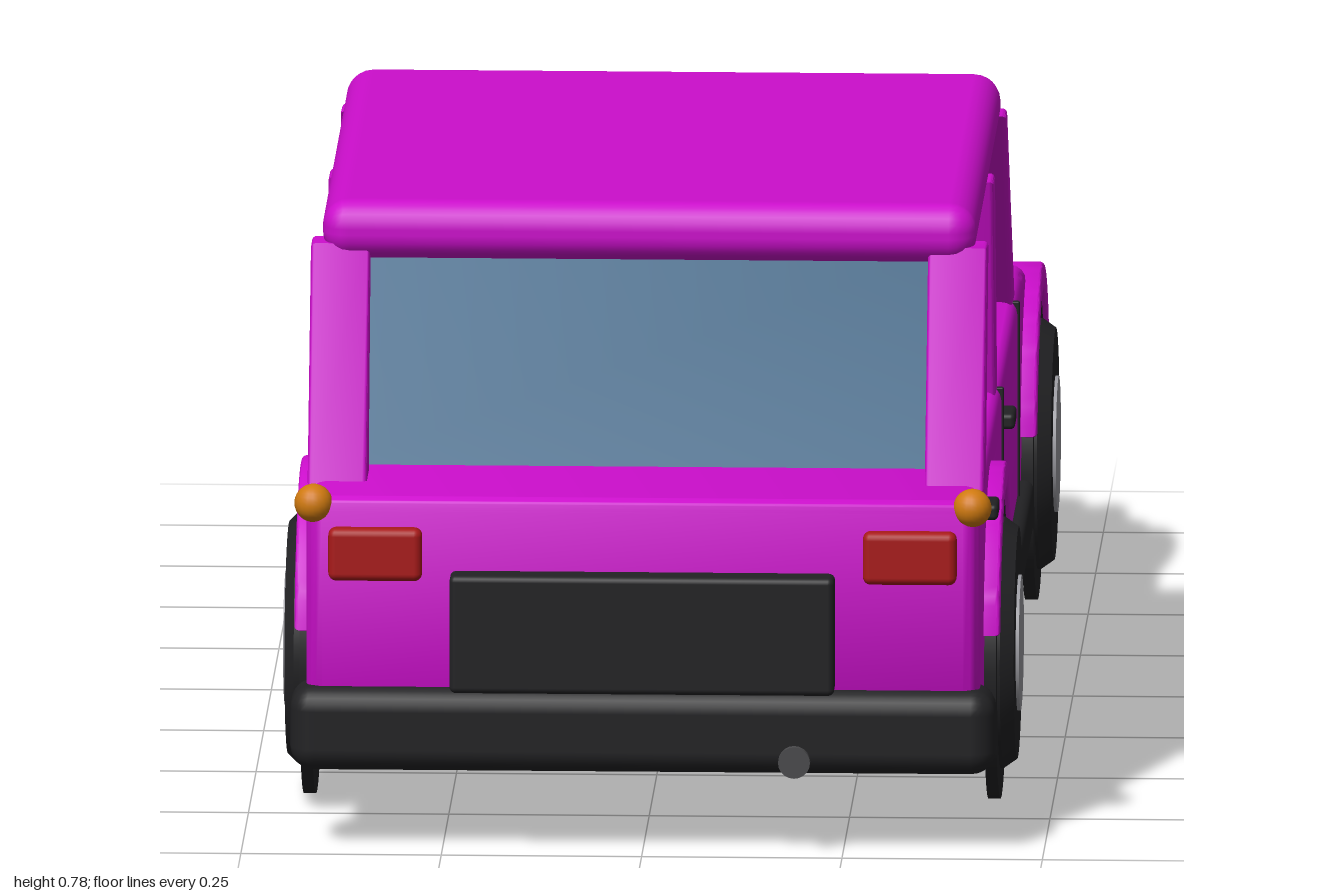
import * as THREE from 'three';
import { toCreasedNormals } from 'three/addons/utils/BufferGeometryUtils.js';
import { RoundedBoxGeometry } from 'three/addons/geometries/RoundedBoxGeometry.js';

const mat = (color) => new THREE.MeshStandardMaterial({ color });
const paint = mat(0xcc0ecc), black = mat(0x222224), underside = mat(0x161616), glass = mat(0x5b7f9f);
const red = mat(0xa81a1a), orange = mat(0xd07a10), cream = mat(0xc0b896), metal = mat(0x9a9aa0), steel = mat(0x4a4a4c);

export function createModel() {
  const car = new THREE.Group();
  car.name = 'car';

  const add = (name, geometry, material, x = 0, y = 0, z = 0) => {
    const mesh = new THREE.Mesh(geometry, material);
    mesh.name = name;
    mesh.position.set(x, y, z);
    car.add(mesh);
    return mesh;
  };
  // Rounded box given by its limits on each axis
  const box = (name, material, [x0, x1], [y0, y1], [z0, z1], r = 0.01) =>
    add(name, new RoundedBoxGeometry(x1 - x0, y1 - y0, z1 - z0, 3, r), material,
      (x0 + x1) / 2, (y0 + y1) / 2, (z0 + z1) / 2);
  // Side profile (z, y) extruded across x from x0 to x1
  const slab = (name, material, shape, x0, x1, bevel) => {
    const g = new THREE.ExtrudeGeometry(shape, {
      depth: x1 - x0 - 2 * bevel, bevelThickness: bevel, bevelSize: bevel, bevelOffset: -bevel,
      bevelSegments: 4, curveSegments: 24,
    });
    g.rotateY(-Math.PI / 2);
    g.translate(x1 - bevel, 0, 0);
    return add(name, toCreasedNormals(g, 0.6), material);
  };
  const poly = (pts) => new THREE.Shape(pts.map(([z, y]) => new THREE.Vector2(z, y)));

  // Lower body with a sloping bonnet towards -z
  const body = new THREE.Shape();
  body.moveTo(0.93, 0.13);
  body.lineTo(0.965, 0.2);
  body.lineTo(0.965, 0.43);
  body.quadraticCurveTo(0.965, 0.447, 0.945, 0.447);
  body.lineTo(-0.42, 0.447);
  body.bezierCurveTo(-0.6, 0.447, -0.7, 0.38, -0.8, 0.34);
  body.lineTo(-0.93, 0.285);
  body.quadraticCurveTo(-0.965, 0.27, -0.965, 0.24);
  body.lineTo(-0.965, 0.18);
  body.lineTo(-0.93, 0.13);
  slab('body', paint, body, -0.42, 0.42, 0.02);

  // Cabin glass and roof
  slab('cabinGlass', glass, poly([[0.8, 0.455], [0.735, 0.725], [-0.06, 0.725], [-0.29, 0.455]]), -0.385, 0.385, 0.002);
  box('roof', paint, [-0.408, 0.408], [0.705, 0.78], [-0.085, 0.765], 0.034);

  // Floor, sump, fuel tank and exhaust
  box('floor', underside, [-0.41, 0.41], [0.103, 0.15], [-0.84, 0.86], 0.01);
  box('sump', underside, [-0.165, 0.165], [0.077, 0.12], [-0.475, -0.34]);
  box('fuelTank', steel, [-0.27, 0.13], [0.085, 0.12], [0.25, 0.46]);
  box('muffler', steel, [0.155, 0.225], [0.077, 0.13], [-0.01, 0.43], 0.026);
  const pipe = new THREE.CylinderGeometry(0.02, 0.02, 0.57, 20).rotateX(Math.PI / 2);
  add('exhaustPipe', pipe, steel, 0.19, 0.12, 0.712);

  // Bumpers, tail panel and grille
  box('tailBumper', black, [-0.44, 0.44], [0.1, 0.208], [0.893, 0.988], 0.03);
  box('noseBumper', black, [-0.435, 0.435], [0.1, 0.208], [-0.993, -0.89], 0.03);
  box('tailPanel', black, [-0.24, 0.24], [0.205, 0.355], [0.95, 1], 0.008);
  box('grille', black, [-0.24, 0.24], [0.15, 0.285], [-1, -0.94], 0.008);

  // Window pillars, as side profiles with their limits across x
  const pillars = [
    ['windscreenPillar', [[-0.265, 0.44], [-0.035, 0.73], [-0.085, 0.73], [-0.327, 0.44]], 0.355, 0.415],
    ['doorPillar', [[0.287, 0.44], [0.367, 0.73], [0.312, 0.73], [0.24, 0.44]], 0.36, 0.415],
    ['tailPillar', [[0.868, 0.44], [0.755, 0.727], [0.71, 0.727], [0.795, 0.44]], 0.348, 0.422],
  ];
  const sphere = new THREE.SphereGeometry(0.024, 20, 14);
  const lamp = new THREE.CylinderGeometry(0.065, 0.065, 0.05, 32).rotateX(Math.PI / 2);
  // Tyre and wheel disc profiles, turned about the axle
  const tyre = new THREE.LatheGeometry([[0, -0.077], [0.145, -0.077], [0.157, -0.065], [0.157, 0.06],
    [0.145, 0.077], [0, 0.077]].map(([r, h]) => new THREE.Vector2(r, h)), 48).rotateZ(-Math.PI / 2);
  const tyreGeometry = toCreasedNormals(tyre, 0.5);
  const disc = new THREE.CylinderGeometry(0.195, 0.195, 0.015, 48).rotateZ(Math.PI / 2);
  const hub = new THREE.CylinderGeometry(0.085, 0.085, 0.02, 32).rotateZ(Math.PI / 2);

  for (const s of [-1, 1]) {
    const side = s > 0 ? 'left' : 'right';
    const span = (a, b) => (s > 0 ? [a, b] : [-b, -a]);

    for (const [name, pts, a, b] of pillars) slab(`${side} ${name}`, paint, poly(pts), ...span(a, b), 0.006);
    box(`${side} sill`, black, span(0.38, 0.437), [0.13, 0.195], [-0.39, 0.39], 0.012);

    // Door seams and handles
    for (const z of [0.24, -0.285]) box(`${side} doorSeam`, black, span(0.41, 0.423), [0.19, 0.443], [z - 0.004, z + 0.004], 0.002);
    for (const z of [0.185, 0.74]) box(`${side} doorHandle`, black, span(0.41, 0.436), [0.383, 0.403], [z - 0.03, z + 0.03], 0.006);

    // Lights
    box(`${side} tailLight`, red, span(0.275, 0.392), [0.343, 0.41], [0.94, 0.982], 0.01);
    add(`${side} tailIndicator`, sphere, orange, s * 0.411, 0.438, 0.955);
    add(`${side} noseIndicator`, sphere, orange, s * 0.411, 0.24, -0.958);
    add(`${side} headlight`, lamp, cream, s * 0.31, 0.245, -0.961);

    // Wheels, wells and arches
    for (const z of [0.61, -0.605]) {
      const where = `${side} ${z > 0 ? 'tail' : 'nose'}`;
      add(`${where} tyre`, tyreGeometry, black, s * 0.378, 0.195, z);
      add(`${where} wheelDisc`, disc, black, s * 0.427, 0.195, z);
      add(`${where} hub`, hub, metal, s * 0.449, 0.195, z);
      box(`${where} wheelWell`, underside, span(0.26, 0.416), [0.105, 0.388], [z - 0.185, z + 0.185], 0.02);
      const arch = new THREE.Shape();
      arch.absarc(z, 0.2, 0.222, 0.22, Math.PI - 0.22, false);
      arch.absarc(z, 0.2, 0.186, Math.PI - 0.22, 0.22, true);
      slab(`${where} wheelArch`, paint, arch, ...span(0.39, 0.44), 0.006);
    }
  }
  return car;
}
